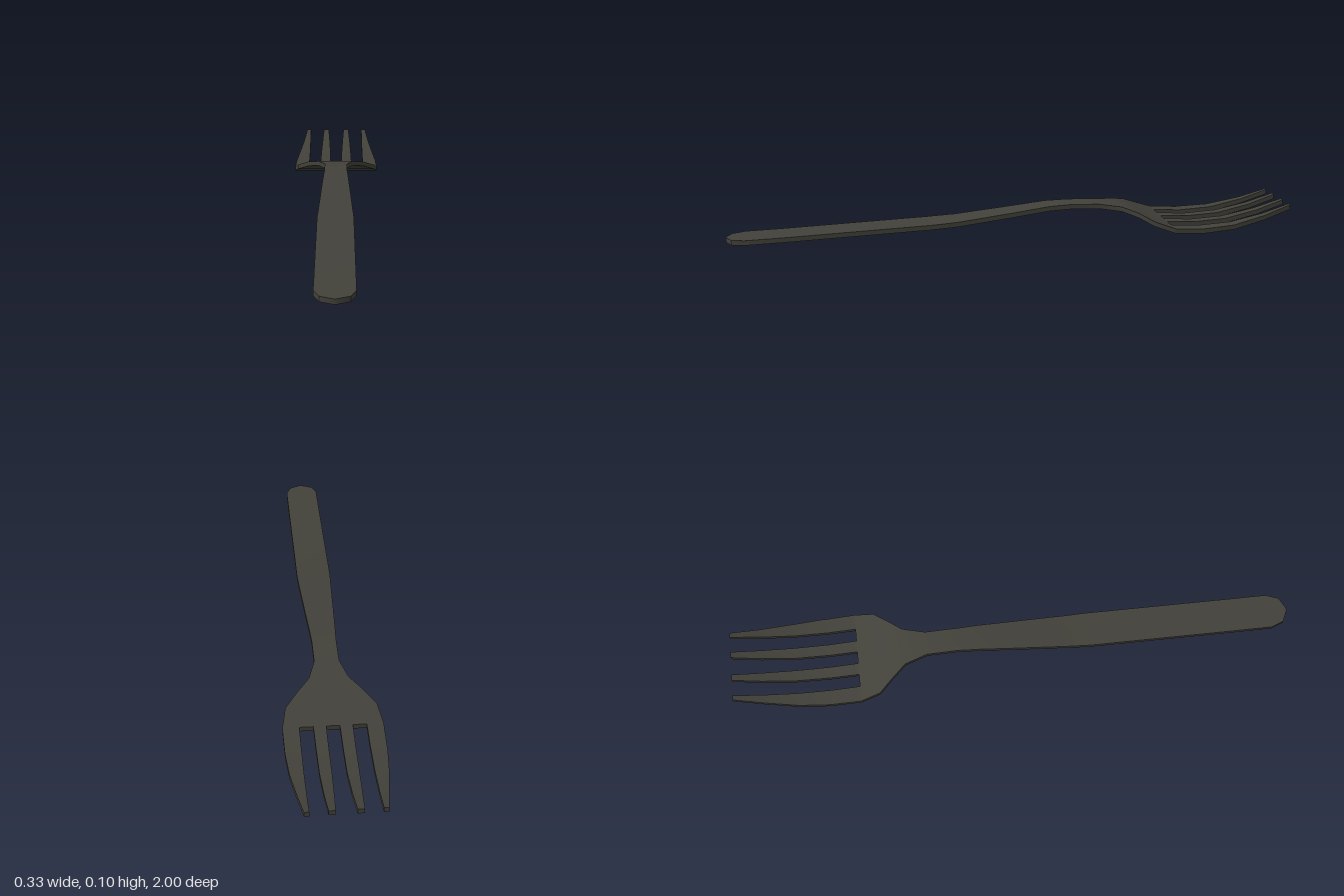
import * as THREE from 'three';
import { toCreasedNormals } from 'three/addons/utils/BufferGeometryUtils.js';

const HALF_THICK = 0.0085;

// Side profile: [z, centre height], from handle end to tine tips
const profile = [
  [1, 0.014], [0.8, 0.02], [0.6, 0.028], [0.3, 0.04], [0.2, 0.046], [0, 0.069],
  [-0.13, 0.085], [-0.21, 0.088], [-0.31, 0.085], [-0.39, 0.077], [-0.44, 0.063], [-0.49, 0.039],
  [-0.56, 0.015], [-0.66, 0.009], [-0.78, 0.016], [-0.9, 0.042], [-1, 0.074],
];

// Outlines: [z, left edge x, right edge x]
const bodyOutline = [
  [1, 0.004], [0.98, 0.045], [0.935, 0.062], [0.27, 0.062], [0, 0.051], [-0.2, 0.042],
  [-0.31, 0.042], [-0.39, 0.066], [-0.49, 0.15], [-0.56, 0.164],
].map(([z, w]) => [z, -w, w]);
const outerTine = [
  [-0.56, 0.109, 0.164], [-0.68, 0.109, 0.162], [-0.78, 0.109, 0.154], [-0.9, 0.109, 0.138], [-1, 0.109, 0.125],
];
const innerTine = [
  [-0.56, 0.022, 0.064], [-0.78, 0.023, 0.062], [-0.9, 0.027, 0.058], [-1, 0.032, 0.053],
];

// Linear lookup in a table sorted by falling z
function at(table, z, column) {
  let i = 1;
  while (i < table.length - 1 && table[i][0] > z) i++;
  const a = table[i - 1], b = table[i];
  return THREE.MathUtils.lerp(a[column], b[column], (z - a[0]) / (b[0] - a[0]));
}

// Curved bar with a rectangular section following the side profile
function ribbon(outline) {
  const zMax = outline[0][0], zMin = outline[outline.length - 1][0];
  const stations = [...new Set([...outline, ...profile].map(p => p[0]))]
    .filter(z => z <= zMax && z >= zMin).sort((a, b) => b - a);
  const positions = [], index = [];
  for (const z of stations) {
    const l = at(outline, z, 1), r = at(outline, z, 2), y = at(profile, z, 1);
    const top = y + HALF_THICK, bottom = y - HALF_THICK;
    positions.push(l, top, z, r, top, z, r, bottom, z, l, bottom, z);
  }
  const quad = (a, b, c, d) => index.push(a, b, c, a, c, d);
  for (let s = 0; s < stations.length - 1; s++) {
    for (let k = 0; k < 4; k++) {
      const n = (k + 1) % 4, i = s * 4;
      quad(i + k, i + n, i + 4 + n, i + 4 + k);
    }
  }
  const e = (stations.length - 1) * 4;
  quad(0, 3, 2, 1);
  quad(e, e + 1, e + 2, e + 3);
  const geometry = new THREE.BufferGeometry();
  geometry.setAttribute('position', new THREE.Float32BufferAttribute(positions, 3));
  geometry.setIndex(index);
  return toCreasedNormals(geometry, Math.PI / 6);
}

export function createModel() {
  const fork = new THREE.Group();
  fork.name = 'fork';
  const material = new THREE.MeshStandardMaterial({ color: 0x42413a });
  material.name = 'dark metal';

  const add = (name, outline) => {
    const mesh = new THREE.Mesh(ribbon(outline), material);
    mesh.name = name;
    fork.add(mesh);
  };
  const mirror = outline => outline.map(([z, l, r]) => [z, -r, -l]);

  // Handle, neck and shoulders in one piece
  add('handle', bodyOutline);

  // Four tapering tines
  add('leftOuterTine', outerTine);
  add('leftInnerTine', innerTine);
  add('rightInnerTine', mirror(innerTine));
  add('rightOuterTine', mirror(outerTine));
  return fork;
}
